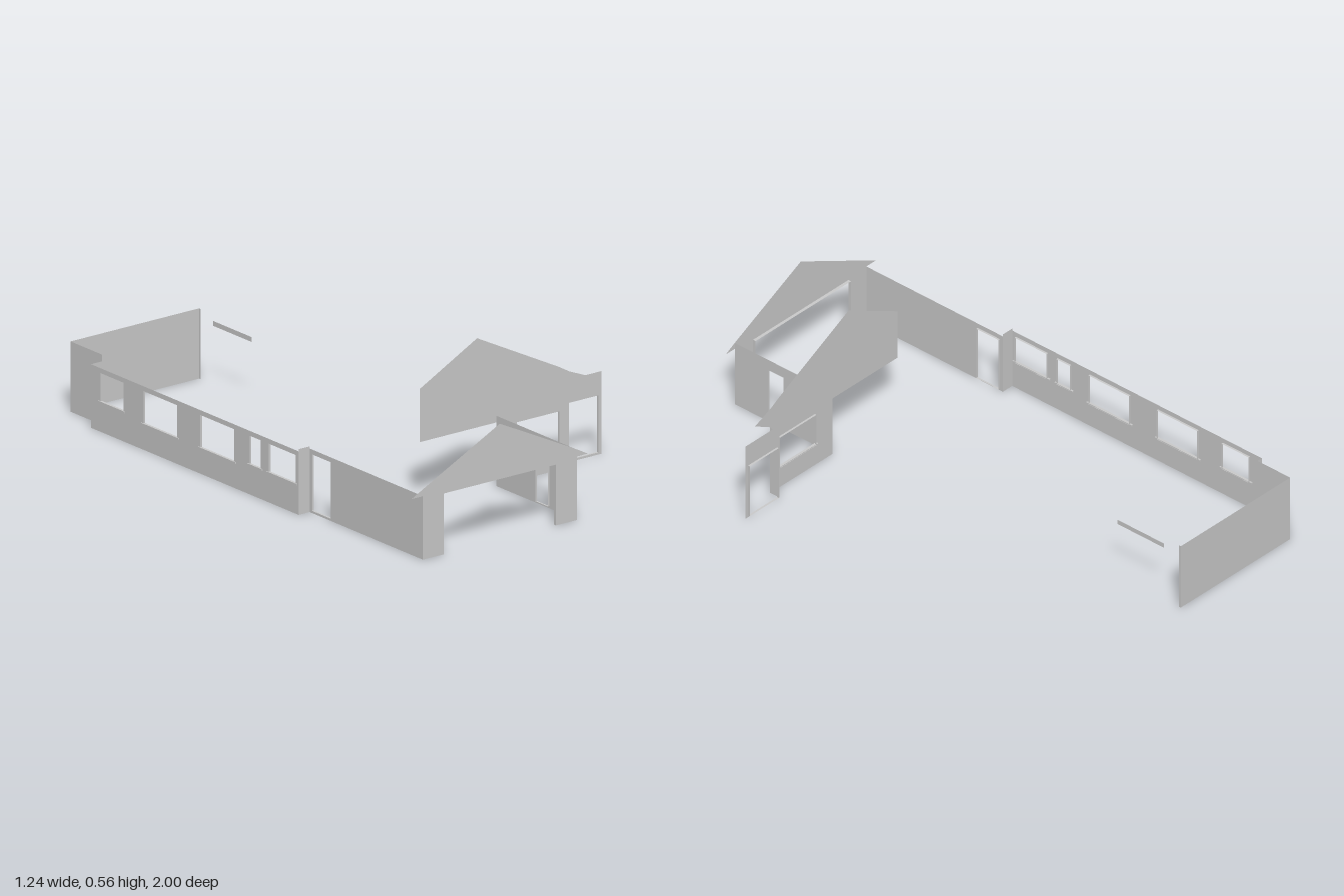
import * as THREE from 'three';

const material = new THREE.MeshStandardMaterial({ color: 0xcccccc, side: THREE.DoubleSide, flatShading: true });

const rect = (u0, u1, y0, y1) => [[u0, y0], [u1, y0], [u1, y1], [u0, y1]];
const toPoints = (pts) => pts.map(([u, y]) => new THREE.Vector2(u, y));

function addMesh(parent, name, geometry) {
  const mesh = new THREE.Mesh(geometry, material);
  mesh.name = name;
  parent.add(mesh);
  return mesh;
}

// Thin lining around an opening; depth is signed along the wall normal
function lining(parent, [u0, u1, y0, y1], depth, withBottom = true) {
  const w = u1 - u0, h = y1 - y0, d = Math.abs(depth);
  for (const u of [u0, u1]) {
    addMesh(parent, 'jamb', new THREE.PlaneGeometry(d, h).rotateY(Math.PI / 2).translate(u, y0 + h / 2, depth / 2));
  }
  for (const y of withBottom ? [y0, y1] : [y1]) {
    addMesh(parent, 'head', new THREE.PlaneGeometry(w, d).rotateX(Math.PI / 2).translate(u0 + w / 2, y, depth / 2));
  }
}

// Wall sheet with lined openings; windows also get a projecting sill
function wall(name, outline, { openings = [], depth = -0.008, sill = true } = {}) {
  const group = new THREE.Group();
  group.name = name;
  const shape = new THREE.Shape(toPoints(outline));
  for (const o of openings) {
    shape.holes.push(new THREE.Path(toPoints(rect(...o)).reverse()));
    lining(group, o, depth);
    if (sill && o[2] > 0.05) {
      addMesh(group, 'sill', new THREE.BoxGeometry(o[1] - o[0] + 0.022, 0.006, 0.01)
        .translate((o[0] + o[1]) / 2, o[2], depth * 0.2));
    }
  }
  addMesh(group, name + 'Sheet', new THREE.ShapeGeometry(shape));
  return group;
}

export function createModel() {
  const house = new THREE.Group();
  house.name = 'houseShell';

  const facingFront = (z, w) => { w.position.z = z; house.add(w); return w; };
  // Local u runs along +z, local normal points to -x
  const facingSide = (x, w) => { w.position.x = x; w.rotation.y = -Math.PI / 2; house.add(w); return w; };

  // Garage front with roof overhang and door opening
  const garage = facingFront(0.998, wall('garageGable', [
    [-0.567, 0], [-0.474, 0], [-0.474, 0.225], [0.023, 0.225], [0.023, 0], [0.117, 0],
    [0.117, 0.235], [0.165, 0.235], [0.115, 0.262], [0.032, 0.303], [-0.226, 0.43],
    [-0.564, 0.262], [-0.617, 0.235], [-0.567, 0.235],
  ]));
  lining(garage, [-0.474, 0.023, 0, 0.225], -0.012, false);

  // Garage side walls; the right one continues to the side door
  facingSide(0.117, wall('garageInnerWall', rect(0.54, 0.998, 0, 0.26), {
    openings: [[0.77, 0.84, 0.008, 0.217]], depth: 0.006,
  }));
  facingSide(-0.567, wall('garageOuterWall', rect(0.355, 0.998, 0, 0.235), {
    openings: [[0.368, 0.473, 0.008, 0.217]],
  }));

  // Main front gable, reaching over the garage roof
  facingFront(0.54, wall('mainGable', [
    [0.117, 0], [0.44, 0], [0.44, 0.278], [0.519, 0.322], [0.44, 0.355], [0.395, 0.381],
    [0.032, 0.565], [-0.222, 0.432], [-0.222, 0.235], [0.117, 0.235],
  ], { openings: [[0.208, 0.398, 0.087, 0.216]] }));

  // Entry wall and its short return
  facingFront(0.497, wall('entryWall', rect(0.44, 0.617, 0, 0.306), {
    openings: [[0.452, 0.603, 0.008, 0.219]],
  }));
  facingSide(0.44, wall('entryReturn', [[0.497, 0], [0.54, 0], [0.54, 0.278], [0.497, 0.265]]));

  // Long side wall with five windows
  facingSide(-0.616, wall('longSideWall', rect(-0.82, 0.355, 0, 0.235), {
    openings: [
      [0.186, 0.337, 0.11, 0.217], [0.077, 0.14, 0.11, 0.217], [-0.202, -0.01, 0.095, 0.217],
      [-0.523, -0.332, 0.095, 0.217], [-0.765, -0.637, 0.11, 0.217],
    ],
  }));

  // Short jogs at both ends of the long wall
  for (const [z, h] of [[0.355, 0.243], [-0.82, 0.235]]) {
    facingFront(z, wall('jogWall', rect(-0.616, -0.567, 0, h)));
  }

  // Rear corner and back wall with a narrow end
  facingSide(-0.567, wall('rearSideWall', rect(-0.998, -0.82, 0, 0.26)));
  facingFront(-0.998, wall('backWall', rect(-0.567, 0.003, 0, 0.26)));
  facingSide(0.003, wall('backWallEnd', rect(-0.998, -0.99, 0, 0.26)));

  // Free header strip above the rear opening
  facingSide(0.003, wall('rearHeader', rect(-0.918, -0.7, 0.217, 0.235)));

  return house;
}
